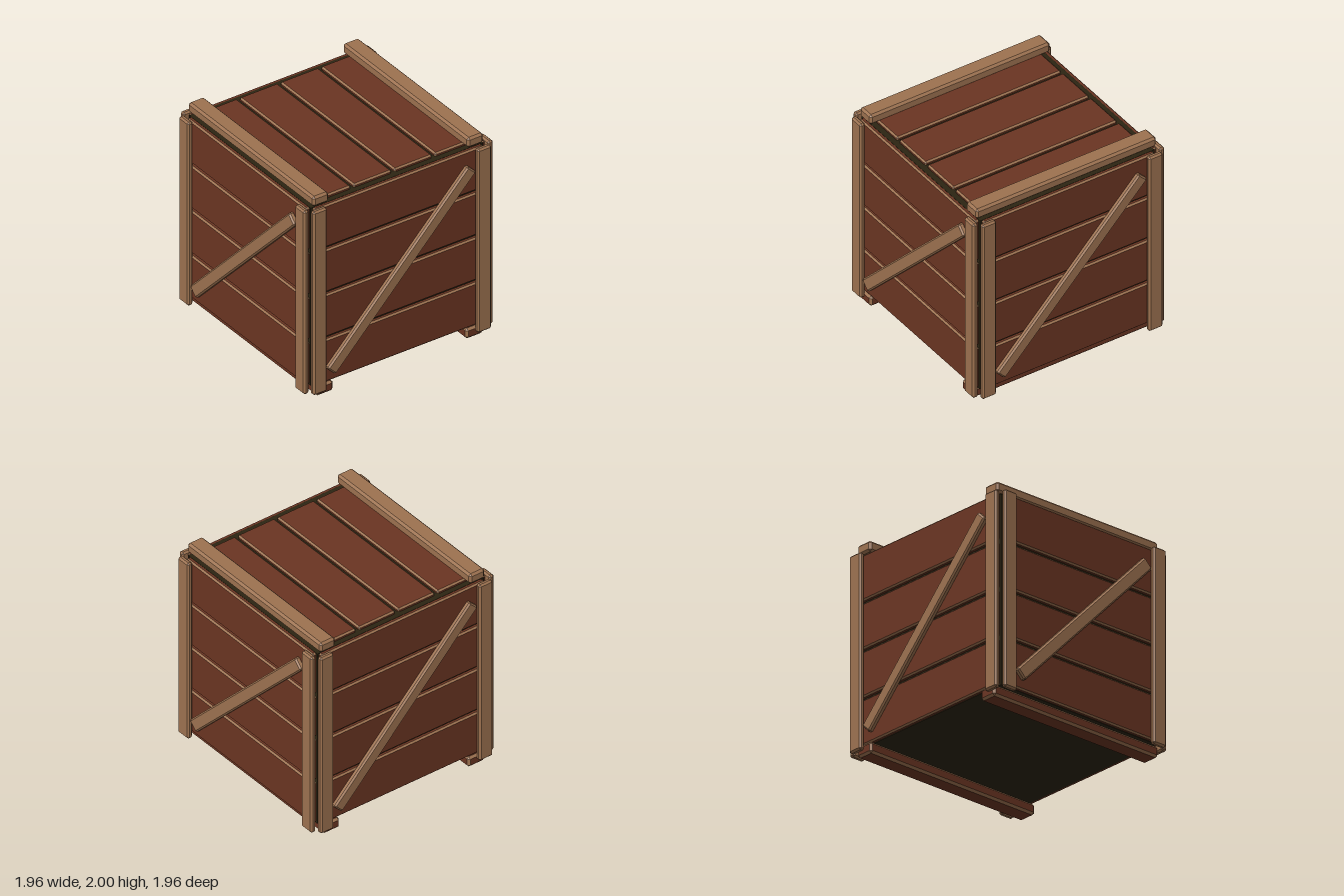
import * as THREE from 'three';
import { ConvexGeometry } from 'three/addons/geometries/ConvexGeometry.js';

const plankWood = new THREE.MeshStandardMaterial({ color: 0x6b3522 });
plankWood.name = 'red brown plank wood';
const trimWood = new THREE.MeshStandardMaterial({ color: 0x9d7250 });
trimWood.name = 'tan trim wood';
const darkInside = new THREE.MeshStandardMaterial({ color: 0x2c2412 });
darkInside.name = 'dark inside';

// Box with chamfered edges: group 0 is the six flat faces, group 1 the chamfers
function chamferBox(w, h, d, c) {
  const half = [w / 2, h / 2, d / 2];
  const points = [];
  for (const sx of [-1, 1]) for (const sy of [-1, 1]) for (const sz of [-1, 1]) {
    for (let axis = 0; axis < 3; axis++) {
      const p = [sx, sy, sz].map((s, i) => s * (half[i] - (i === axis ? 0 : c)));
      points.push(new THREE.Vector3(...p));
    }
  }
  const hull = new ConvexGeometry(points).getAttribute('position');
  const flat = [], edge = [];
  const a = new THREE.Vector3(), b = new THREE.Vector3(), e = new THREE.Vector3();
  const n = new THREE.Vector3();
  for (let i = 0; i < hull.count; i += 3) {
    a.fromBufferAttribute(hull, i);
    b.fromBufferAttribute(hull, i + 1);
    e.fromBufferAttribute(hull, i + 2);
    new THREE.Triangle(a, b, e).getNormal(n);
    const isFlat = Math.max(Math.abs(n.x), Math.abs(n.y), Math.abs(n.z)) > 0.99;
    (isFlat ? flat : edge).push(...a, ...b, ...e);
  }
  const geo = new THREE.BufferGeometry();
  geo.setAttribute('position', new THREE.Float32BufferAttribute([...flat, ...edge], 3));
  geo.computeVertexNormals();
  geo.addGroup(0, flat.length / 3, 0);
  geo.addGroup(flat.length / 3, edge.length / 3, 1);
  return geo;
}

// Adds a chamfered board spanning the given ranges
function board(parent, name, [x0, x1], [y0, y1], [z0, z1], chamfer, face) {
  const geo = chamferBox(x1 - x0, y1 - y0, z1 - z0, chamfer);
  const mesh = new THREE.Mesh(geo, [face, trimWood]);
  mesh.position.set((x0 + x1) / 2, (y0 + y1) / 2, (z0 + z1) / 2);
  mesh.name = name;
  parent.add(mesh);
  return mesh;
}

// One wall: four planks, two corner posts and a diagonal brace
function wall(name) {
  const group = new THREE.Group();
  group.name = name;
  for (let i = 0; i < 4; i++) {
    const y = 0.105 + i * 0.451;
    board(group, 'wallPlank', [-0.875, 0.875], [y, y + 0.426], [0.88, 0.93], 0.014, plankWood);
  }
  for (const s of [-1, 1]) {
    board(group, 'cornerPost', [s * 0.852 - 0.072, s * 0.852 + 0.072], [0.05, 1.895], [0.928, 0.982], 0.016, trimWood);
  }
  const brace = board(group, 'diagonalBrace', [-1.045, 1.045], [0.91, 1.03], [0.92, 0.975], 0.014, trimWood);
  brace.rotation.z = Math.atan2(1.49, 1.45);
  return group;
}

export function createModel() {
  const crate = new THREE.Group();
  crate.name = 'woodenCrate';

  // Dark body seen through the gaps
  const core = new THREE.Mesh(new THREE.BoxGeometry(1.785, 1.785, 1.785), darkInside);
  core.position.y = 0.9925;
  core.name = 'core';
  crate.add(core);

  // Four walls, each a quarter turn from the last
  ['frontWall', 'leftWall', 'backWall', 'rightWall'].forEach((name, i) => {
    const w = wall(name);
    w.rotation.y = i * Math.PI / 2;
    crate.add(w);
  });

  // Lid planks
  for (let i = 0; i < 4; i++) {
    const z = (i - 1.5) * 0.422;
    board(crate, 'lidPlank', [-0.842, 0.838], [1.865, 1.915], [z - 0.197, z + 0.197], 0.014, plankWood);
  }

  // Lid battens and floor skids
  for (const s of [-1, 1]) {
    board(crate, 'lidBatten', [-0.925, 0.92], [1.9, 2], [s * 0.802 - 0.082, s * 0.802 + 0.082], 0.02, trimWood);
    board(crate, 'floorSkid', [-0.943, 0.94], [0, 0.103], [s * 0.776 - 0.088, s * 0.776 + 0.088], 0.02, plankWood);
  }
  return crate;
}
